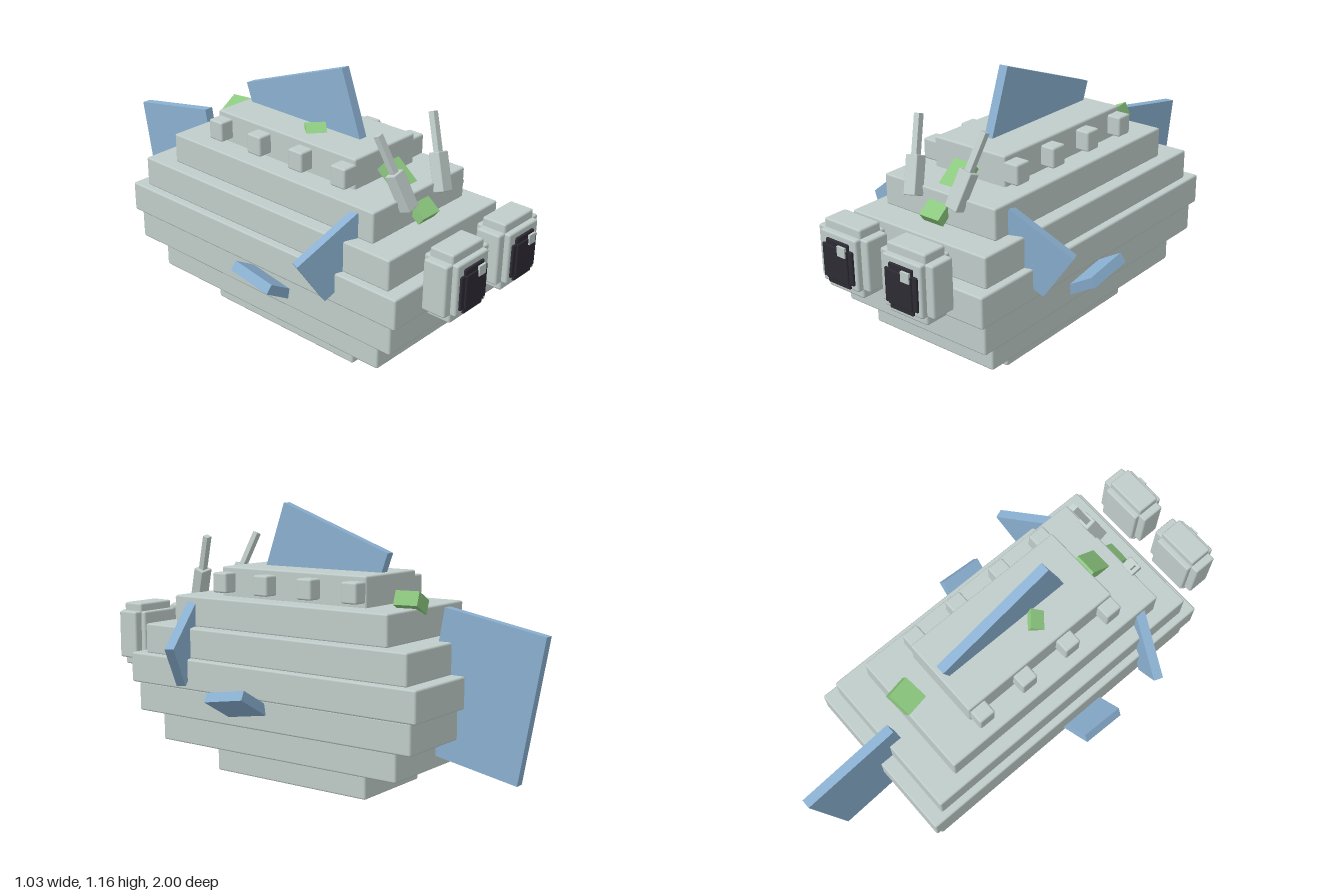
import * as THREE from 'three';
import { RoundedBoxGeometry } from 'three/addons/geometries/RoundedBoxGeometry.js';

const mat = (name, color) => {
  const m = new THREE.MeshStandardMaterial({ color });
  m.name = name;
  return m;
};

export function createModel() {
  const grey = mat('paleGrey', 0xc0cdca);
  const blue = mat('finBlue', 0x8ab0d1);
  const green = mat('leafGreen', 0x8cc87f);
  const black = mat('pupilBlack', 0x2d2b34);

  const model = new THREE.Group();
  model.name = 'blockFish';

  // size, position and rotation of a plain or bevelled block
  const block = (parent, name, material, size, pos, rot = [0, 0, 0], bevel = 0) => {
    const geo = bevel
      ? new RoundedBoxGeometry(...size, 1, bevel)
      : new THREE.BoxGeometry(...size);
    const mesh = new THREE.Mesh(geo, material);
    mesh.name = name;
    mesh.position.set(...pos);
    mesh.rotation.set(...rot);
    parent.add(mesh);
    return mesh;
  };

  // stacked hull layers: half width, bottom, top, back z, front z
  const layers = [
    [0.197, 0.002, 0.132, -0.32, 0.46],
    [0.307, 0.13, 0.258, -0.535, 0.675],
    [0.355, 0.257, 0.385, -0.63, 0.77],
    [0.37, 0.383, 0.513, -0.66, 0.80],
    [0.338, 0.51, 0.64, -0.60, 0.74],
    [0.28, 0.637, 0.767, -0.475, 0.615],
    [0.178, 0.76, 0.892, -0.308, 0.437],
  ];
  const body = new THREE.Group();
  body.name = 'body';
  model.add(body);
  layers.forEach(([hw, y0, y1, z0, z1], i) => {
    block(body, `bodyLayer${i + 1}`, grey, [hw * 2, y1 - y0, z1 - z0],
      [0, (y0 + y1) / 2, (z0 + z1) / 2], [0, 0, 0], 0.008);
  });

  // fins on the centre line
  block(model, 'dorsalFin', blue, [0.04, 0.42, 0.56], [0, 0.868, 0.034], [-0.347, 0, 0]);
  block(model, 'tailFin', blue, [0.04, 0.59, 0.44], [0, 0.445, -0.731], [-0.18, 0, 0]);

  for (const s of [1, -1]) {
    const side = s > 0 ? 'left' : 'right';

    // studs along the top layer
    for (const z of [0.4, 0.18, -0.045, -0.265]) {
      block(model, `${side}Stud`, grey, [0.08, 0.085, 0.075], [s * 0.199, 0.828, z], [0, 0, 0], 0.008);
    }

    // side fins
    block(model, `${side}UpperFin`, blue, [0.3, 0.208, 0.04],
      [s * 0.338, 0.574, 0.5], [0, s * 0.36, -s * 0.593]);
    block(model, `${side}LowerFin`, blue, [0.26, 0.042, 0.2],
      [s * 0.366, 0.34, 0.16], [0.16, 0, s * 0.56]);

    // antennae lean outward and back
    const antenna = new THREE.Group();
    antenna.name = `${side}Antenna`;
    antenna.position.set(s * 0.119, 0.8, 0.615);
    antenna.quaternion.setFromUnitVectors(
      new THREE.Vector3(0, 1, 0),
      new THREE.Vector3(s * 0.215, 1, -0.39).normalize());
    block(antenna, 'antennaBase', grey, [0.06, 0.155, 0.05], [0, 0, 0], [0, 0, 0], 0.004);
    block(antenna, 'antennaRod', grey, [0.027, 0.18, 0.025], [0, 0.145, 0]);
    model.add(antenna);

    // eyes built from crossed blocks
    const eye = new THREE.Group();
    eye.name = `${side}Eye`;
    eye.position.set(s * 0.16, 0.57, 0.905);
    for (const size of [[0.256, 0.208, 0.103], [0.187, 0.278, 0.103], [0.187, 0.208, 0.15]]) {
      block(eye, 'eyeBlock', grey, size, [0, 0, 0], [0, 0, 0], 0.008);
    }
    block(eye, 'pupilWide', black, [0.156, 0.136, 0.03], [0, -0.012, 0.069], [0, 0, 0], 0.004);
    block(eye, 'pupilTall', black, [0.114, 0.18, 0.03], [0, -0.01, 0.069], [0, 0, 0], 0.004);
    block(eye, 'pupilFront', black, [0.114, 0.136, 0.04], [0, -0.012, 0.07], [0, 0, 0], 0.004);
    block(eye, 'eyeHighlight', grey, [0.04, 0.04, 0.009], [0.032, 0.05, 0.0905]);
    model.add(eye);
  }

  // green patches half sunk in the hull
  block(model, 'frontPatch', green, [0.097, 0.042, 0.265], [0, 0.743, 0.555], [0.67, 0, 0]);
  block(model, 'rearPatch', green, [0.11, 0.06, 0.1], [0.058, 0.788, -0.438], [0, 0.17, 0.42]);
  const topPatch = block(model, 'topPatch', green, [0.083, 0.05, 0.06], [-0.063, 0.882, 0.13]);
  topPatch.rotation.set(0.45, -0.69, 0, 'YXZ');

  return model;
}
